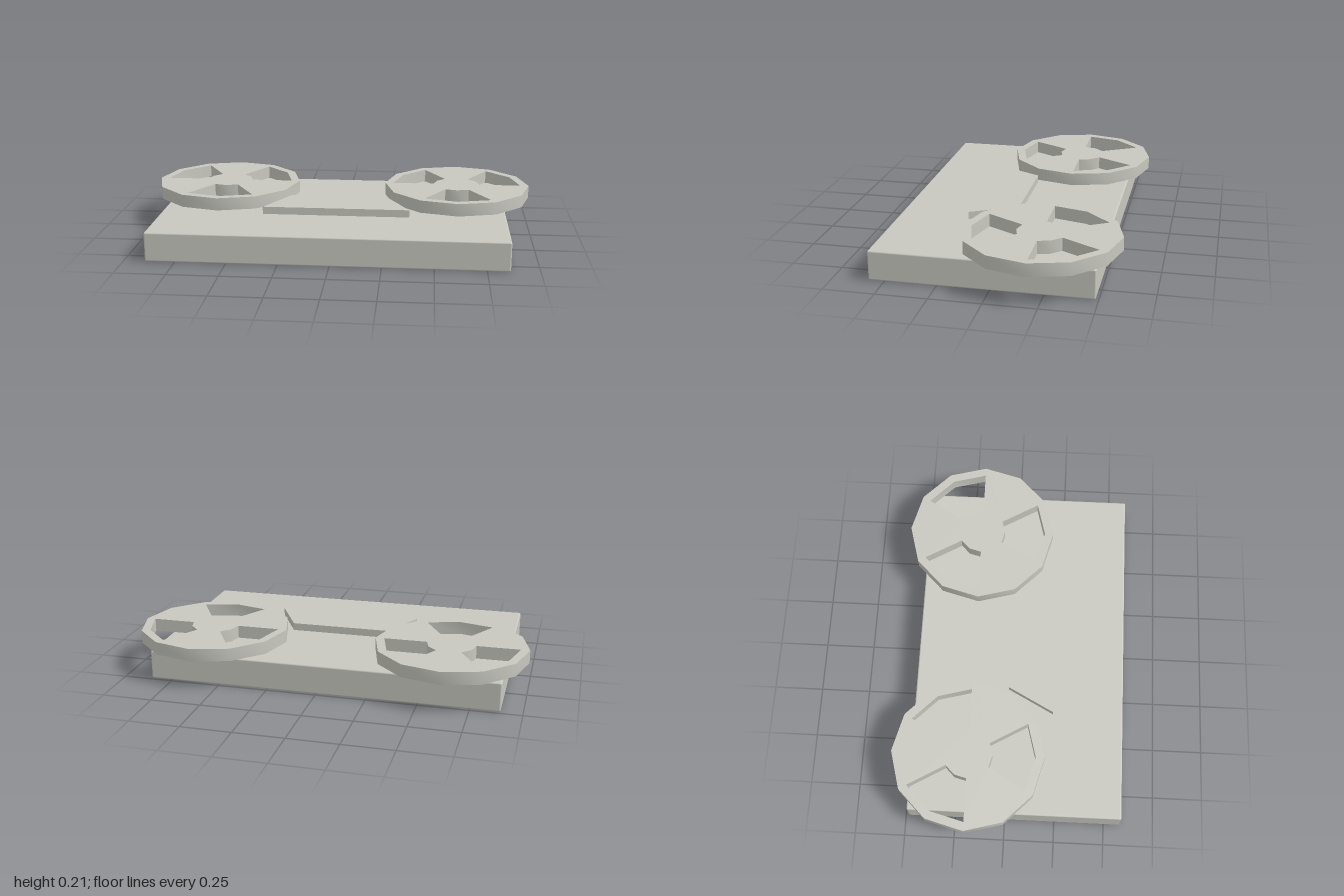
import * as THREE from 'three';
import { toCreasedNormals } from 'three/addons/utils/BufferGeometryUtils.js';
import { RoundedBoxGeometry } from 'three/addons/geometries/RoundedBoxGeometry.js';

const BODY_TOP = 0.146;
const STEP = Math.PI / 6; // reels are twelve-sided

const polar = (radius, step) =>
  new THREE.Vector2(radius * Math.cos(step * STEP), radius * Math.sin(step * STEP));

// Extrudes a plan shape (x, z) upwards from y = 0
function slab(shape, height) {
  const geometry = new THREE.ExtrudeGeometry(shape, { depth: height, bevelEnabled: false });
  geometry.rotateX(Math.PI / 2).translate(0, height, 0);
  return geometry;
}

// Reel disc with three wedge-shaped windows
function reelGeometry() {
  const shape = new THREE.Shape(Array.from({ length: 12 }, (_, i) => polar(0.383, i)));
  for (const start of [2, 6, 10]) {
    const steps = [start, start + 1, start + 2];
    const outer = steps.map((s) => polar(0.339, s));
    const inner = steps.map((s) => polar(0.123, s)).reverse();
    shape.holes.push(new THREE.Path([...outer, ...inner]));
  }
  return toCreasedNormals(slab(shape, 0.065), THREE.MathUtils.degToRad(35));
}

export function createModel() {
  const model = new THREE.Group();
  model.name = 'tapeDeck';
  const grey = new THREE.MeshStandardMaterial({ color: 0xc8c8c0 });
  grey.name = 'warm grey';

  const add = (name, geometry, x, y, z) => {
    const mesh = new THREE.Mesh(geometry, grey);
    mesh.name = name;
    mesh.position.set(x, y, z);
    model.add(mesh);
  };

  // Deck body with fine eased edges
  add('body', new RoundedBoxGeometry(1.756, BODY_TOP, 1.066, 2, 0.008), -0.018, BODY_TOP / 2, 0.046);

  // Pair of reels overhanging the back corners
  const reel = reelGeometry();
  add('leftReel', reel, 0.617, BODY_TOP + 0.001, -0.196);
  add('rightReel', reel, -0.617, BODY_TOP + 0.001, -0.196);

  // Raised trapezoid head cover between the reels
  const cover = new THREE.Shape([
    new THREE.Vector2(-0.25, -0.008),
    new THREE.Vector2(0.25, -0.008),
    new THREE.Vector2(0.372, 0.222),
    new THREE.Vector2(-0.372, 0.222),
  ]);
  add('headCover', slab(cover, 0.044), 0, 0.14, 0);

  return model;
}
